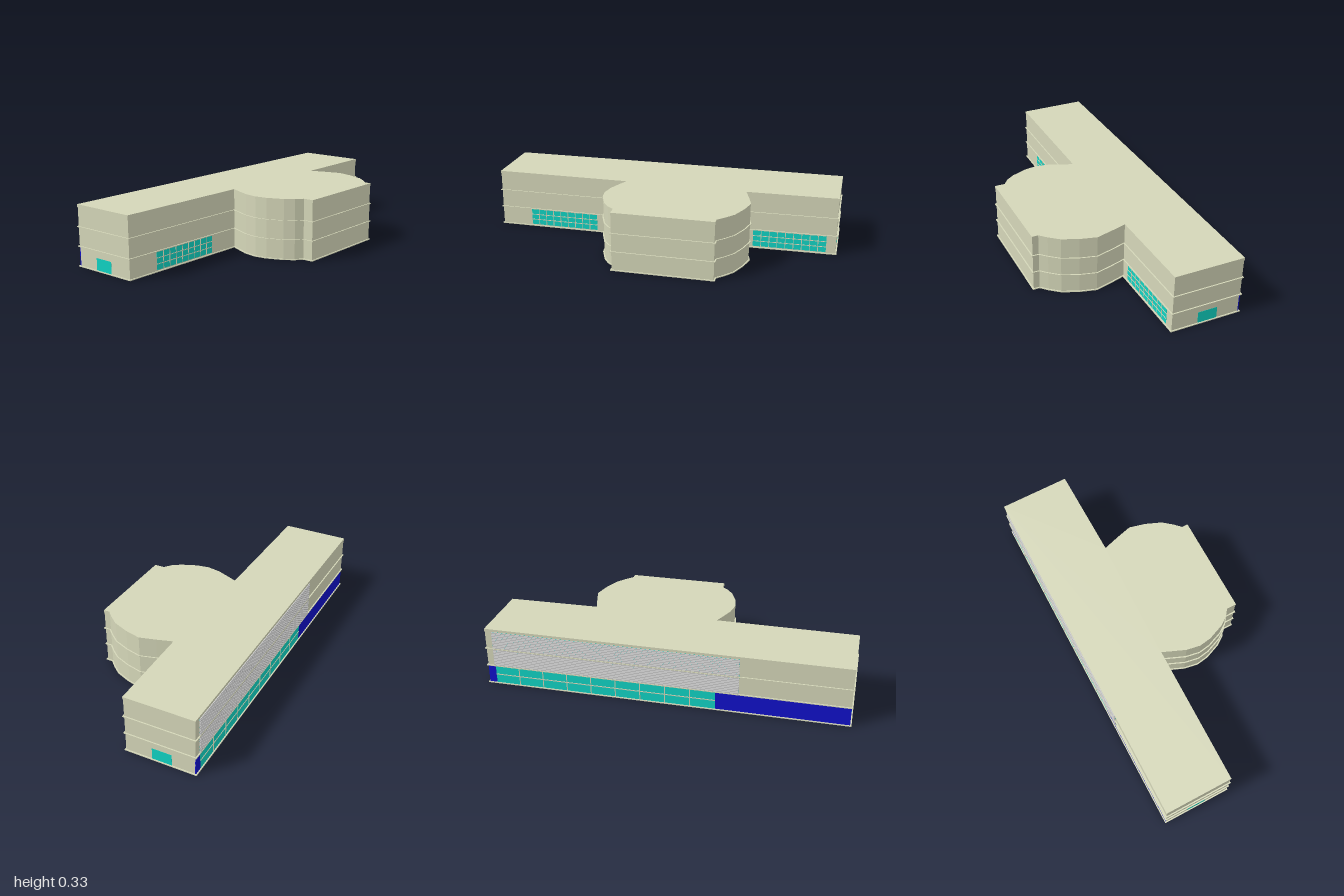
import * as THREE from 'three';

const paint = (color) => new THREE.MeshStandardMaterial({ color, side: THREE.DoubleSide });
const HEIGHT = 0.333;

// Plan of the building as (x, z), at the outer edge of the floor bands
const PLAN = [
  [-0.448, -1], [-0.045, -1], [-0.037, -0.49],
  [0.045, -0.515], [0.138, -0.54], [0.23, -0.517], [0.32, -0.48], [0.375, -0.435], [0.41, -0.4],
  [0.448, -0.4], [0.448, 0.17],
  [0.388, 0.17], [0.36, 0.207], [0.31, 0.242], [0.22, 0.278], [0.15, 0.289], [0.07, 0.275], [-0.02, 0.238],
  [-0.052, 0.224], [-0.057, 1], [-0.448, 1],
].map(([x, z]) => new THREE.Vector2(x, z));

// Plan moved inwards by d with mitred corners
function inset(d) {
  const n = PLAN.length;
  const normal = (a, b) => {
    const e = b.clone().sub(a).normalize();
    return new THREE.Vector2(-e.y, e.x);
  };
  return PLAN.map((p, i) => {
    const n1 = normal(PLAN[(i + n - 1) % n], p);
    const n2 = normal(p, PLAN[(i + 1) % n]);
    return p.clone().addScaledVector(n1.clone().add(n2), d / (1 + n1.dot(n2)));
  });
}

// Slab or ring following the plan, from y0 to y1
function storey(name, y0, y1, outer, inner, material) {
  const shape = new THREE.Shape(inset(outer));
  if (inner) shape.holes.push(new THREE.Path(inset(inner)));
  const geometry = new THREE.ExtrudeGeometry(shape, { depth: y1 - y0, bevelEnabled: false });
  geometry.rotateX(Math.PI / 2).translate(0, y1, 0);
  const mesh = new THREE.Mesh(geometry, material);
  mesh.name = name;
  return mesh;
}

// Group on a wall line a -> b (x, z): local x runs along the wall, local z points outwards
function facade(name, a, b) {
  const group = new THREE.Group();
  group.name = name;
  group.position.set(a[0], 0, a[1]);
  group.rotation.y = Math.atan2(a[1] - b[1], b[0] - a[0]);
  group.userData.length = Math.hypot(b[0] - a[0], b[1] - a[1]);
  return group;
}

function panel(group, name, x0, x1, y0, y1, depth, material, z = -0.002) {
  const mesh = new THREE.Mesh(new THREE.BoxGeometry(x1 - x0, y1 - y0, depth), material);
  mesh.position.set((x0 + x1) / 2, (y0 + y1) / 2, z);
  mesh.name = name;
  group.add(mesh);
}

// Glazing divided by mullions and transoms
function glazing(group, y0, y1, columns, rows, bar, glass, frame) {
  const w = group.userData.length;
  panel(group, 'glass', 0, w, y0, y1, 0.006, glass);
  for (let i = 1; i < columns; i++) {
    const x = (w * i) / columns;
    panel(group, 'mullion', x - bar / 2, x + bar / 2, y0, y1, 0.003, frame, 0.0015);
  }
  for (let j = 1; j < rows; j++) {
    const y = y0 + ((y1 - y0) * j) / rows;
    panel(group, 'transom', 0, w, y - bar / 2, y + bar / 2, 0.003, frame, 0.0015);
  }
}

export function createModel() {
  const model = new THREE.Group();
  const wall = paint(0xd4d6b8);
  const glass = paint(0x10d2c2);
  const blue = paint(0x1010c8);
  const grey = paint(0xcccccc);

  // Hollow shell, open underneath
  model.add(storey('walls', 0, HEIGHT - 0.005, 0.007, 0.011, wall));
  model.add(storey('roof', HEIGHT - 0.005, HEIGHT, 0.007, 0, wall));
  model.add(storey('cornice', 0.318, HEIGHT, 0.005, 0.012, wall));
  for (const y of [0, 0.107, 0.212]) model.add(storey('floorBand', y, y + 0.005, 0, 0.013, wall));

  // Doors on both ends of the wing
  for (const s of [1, -1]) {
    const end = s > 0 ? facade('frontDoor', [-0.31, 0.993], [-0.2, 0.993]) : facade('backDoor', [-0.2, -0.993], [-0.31, -0.993]);
    panel(end, 'doorPanel', 0, 0.11, 0.005, 0.07, 0.006, glass);
    model.add(end);
  }

  // Gridded windows on the inner side of the wing, either side of the hall
  const windows = [
    facade('frontWindow', [-0.0628, 0.81], [-0.0602, 0.4]),
    facade('backWindow', [-0.0446, -0.53], [-0.051, -0.94]),
  ];
  for (const w of windows) {
    glazing(w, 0.01, 0.105, 9, 3, 0.004, glass, wall);
    model.add(w);
  }

  // Ground floor of the long side: glazed strip between blue panels
  const X = -0.441;
  const strip = facade('groundGlazing', [X, -0.95], [X, 0.286]);
  glazing(strip, 0.005, 0.107, 9, 2, 0.005, glass, wall);
  model.add(strip);
  for (const [z0, z1] of [[-0.993, -0.95], [0.286, 0.993]]) {
    const side = facade('bluePanel', [X, z0], [X, z1]);
    panel(side, 'cladding', 0, z1 - z0, 0.005, 0.107, 0.006, blue);
    model.add(side);
  }

  // Upper floors of the long side: glass behind horizontal slats
  for (const [y0, y1] of [[0.112, 0.212], [0.217, 0.318]]) {
    const screen = facade('slatScreen', [X, -0.955], [X, 0.41]);
    const w = screen.userData.length;
    panel(screen, 'screenGlass', 0, w, y0, y1, 0.006, glass);
    const count = 10;
    const pitch = (y1 - y0) / count;
    for (let i = 0; i < count; i++) {
      const y = y0 + pitch * i;
      panel(screen, 'slat', 0, w, y + pitch * 0.15, y + pitch * 0.85, 0.005, grey, 0.0035);
    }
    model.add(screen);
  }
  return model;
}
